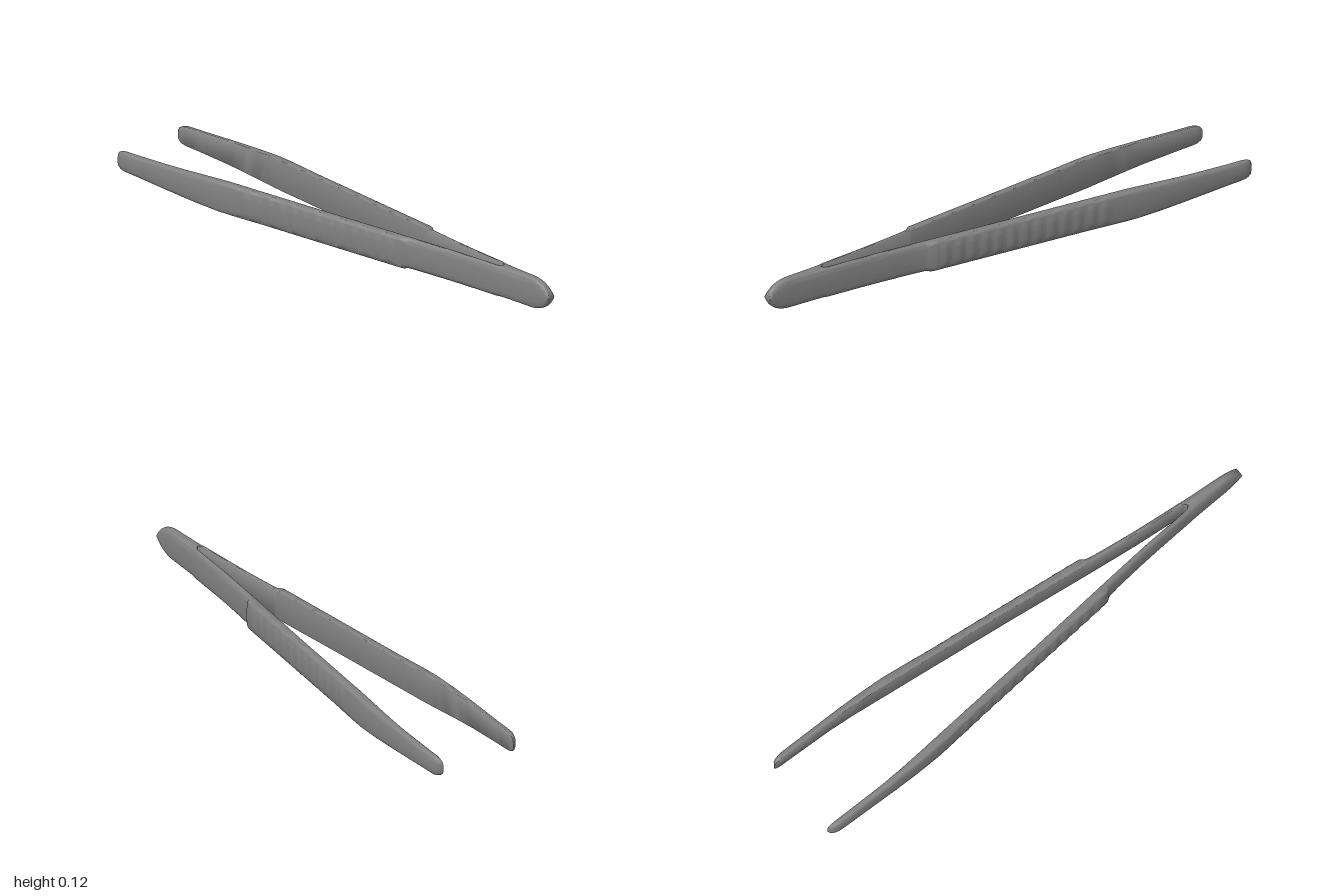
import * as THREE from 'three';
import { toCreasedNormals } from 'three/addons/utils/BufferGeometryUtils.js';

// Profiles along z: [z, value]
const OUTER = [[-1, 0.156], [-0.99, 0.169], [-0.965, 0.177], [-0.93, 0.178], [-0.7, 0.178], [-0.6, 0.176],
  [-0.5, 0.171], [-0.4, 0.16], [-0.3, 0.148], [0.33, 0.086], [0.338, 0.083], [0.348, 0.075], [0.356, 0.072],
  [0.4, 0.065], [0.5, 0.053], [0.6, 0.043], [0.7, 0.035], [0.8, 0.028], [0.9, 0.022], [1, 0.017]];
const INNER = [[-1, 0.152], [-0.75, 0.151], [-0.65, 0.146], [-0.55, 0.138], [-0.4, 0.124], [0, 0.084],
  [0.35, 0.046], [0.55, 0.026], [0.745, 0.012], [0.758, 0.008], [0.765, 0], [1, 0]];
const HALF = [[-1, 0.016], [-0.993, 0.027], [-0.98, 0.034], [-0.96, 0.037], [-0.9, 0.039],
  [-0.6, 0.054], [-0.5, 0.058], [-0.45, 0.059], [1, 0.059]];
const MID_Y = 0.059;

function sample(table, z) {
  for (let i = 1; i < table.length; i++) {
    const [z0, a] = table[i - 1], [z1, b] = table[i];
    if (z <= z1) return a + (b - a) * (z - z0) / (z1 - z0);
  }
  return table[table.length - 1][1];
}

// Rounded hinge end
function halfHeight(z) {
  const t = Math.max(0, (z - 0.905) / 0.095);
  return sample(HALF, z) * Math.sqrt(Math.max(0.0004, 1 - t * t));
}

// Finger grip: low ridges across the outer face
const RIBS = 13, PITCH = 0.054, GRIP_START = -0.39;
function ridge(z) {
  const t = (z - GRIP_START) / PITCH;
  return t < 0 || t > RIBS ? 0 : 0.004 * Math.pow(Math.sin(Math.PI * t), 2);
}

// Cross-section, counterclockwise seen from +z
function section(z) {
  const h = halfHeight(z), xi = sample(INNER, z), xo = Math.max(sample(OUTER, z), xi + 0.003);
  const w = xo - xi, front = z > 0.34;
  const rx = Math.min(front ? 0.016 : 0.01, w * 0.6);
  const ry = Math.min(front ? 0.018 : 0.01, h * 0.6);
  const ri = xi > 0 ? Math.min(0.003, w * 0.2, h * 0.2) : 0;
  const half = [];
  for (let k = 2; k >= 0; k--) {
    const a = k * Math.PI / 4;
    half.push([xi + ri * (1 - Math.cos(a)), -h + ri * (1 - Math.sin(a))]);
  }
  half.reverse();
  half.sort((p, q) => q[1] - p[1]);
  for (let k = 0; k <= 6; k++) {
    const a = k * Math.PI / 12;
    half.push([xo - rx * (1 - Math.sin(a)), -h + ry * (1 - Math.cos(a))]);
  }
  const wall = [];
  for (let k = 1; k < 12; k++) {
    const fade = k === 1 || k === 11 ? 0.6 : 1;
    wall.push([xo + fade * ridge(z), (-1 + k / 6) * (h - ry)]);
  }
  // the outer face is slightly crowned
  const crown = Math.min(0.006, w * 0.25);
  return [...half, ...wall, ...half.slice().reverse().map(([x, y]) => [x, -y])]
    .map(([x, y]) => [x - crown * (x - xi) / w * (y / h) ** 2, y]);
}

function stations() {
  const zs = new Set();
  [OUTER, INNER, HALF].forEach((t) => t.forEach(([z]) => zs.add(z)));
  for (let i = 0; i <= RIBS * 8; i++) zs.add(+(GRIP_START + i * PITCH / 8).toFixed(5));
  for (let i = 0; i <= 14; i++) zs.add(+(0.905 + 0.095 * Math.sin(i / 14 * Math.PI / 2)).toFixed(5));
  return [...zs].sort((a, b) => a - b);
}

// One arm lofted from tip to hinge; side is +1 (left) or -1 (right)
function armGeometry(side) {
  const zs = stations(), pos = [], idx = [];
  let n = 0;
  zs.forEach((z) => {
    const pts = section(z);
    n = pts.length;
    pts.forEach(([x, y]) => pos.push(side * x, y + MID_Y, z));
  });
  const tri = (a, b, c) => (side > 0 ? idx.push(a, b, c) : idx.push(a, c, b));
  for (let i = 0; i < zs.length - 1; i++) {
    // the halves are joined beyond the slot, so no wall is needed there
    const joined = sample(INNER, zs[i]) <= 0;
    for (let j = 0; j < n; j++) {
      if (joined && j === n - 1) continue;
      const k = (j + 1) % n;
      const a = i * n + j, b = i * n + k, c = a + n, d = b + n;
      tri(a, b, c);
      tri(b, d, c);
    }
  }
  // caps at the tip and the hinge end
  const last = (zs.length - 1) * n;
  for (let j = 1; j < n - 1; j++) {
    tri(0, j + 1, j);
    tri(last, last + j, last + j + 1);
  }
  const g = new THREE.BufferGeometry();
  g.setAttribute('position', new THREE.Float32BufferAttribute(pos, 3));
  g.setIndex(idx);
  return toCreasedNormals(g, 1.1);
}

export function createModel() {
  const group = new THREE.Group();
  group.name = 'tweezers';
  const material = new THREE.MeshStandardMaterial({ color: 0x808080 });
  for (const [name, side] of [['leftArm', 1], ['rightArm', -1]]) {
    const arm = new THREE.Mesh(armGeometry(side), material);
    arm.name = name;
    group.add(arm);
  }
  return group;
}
